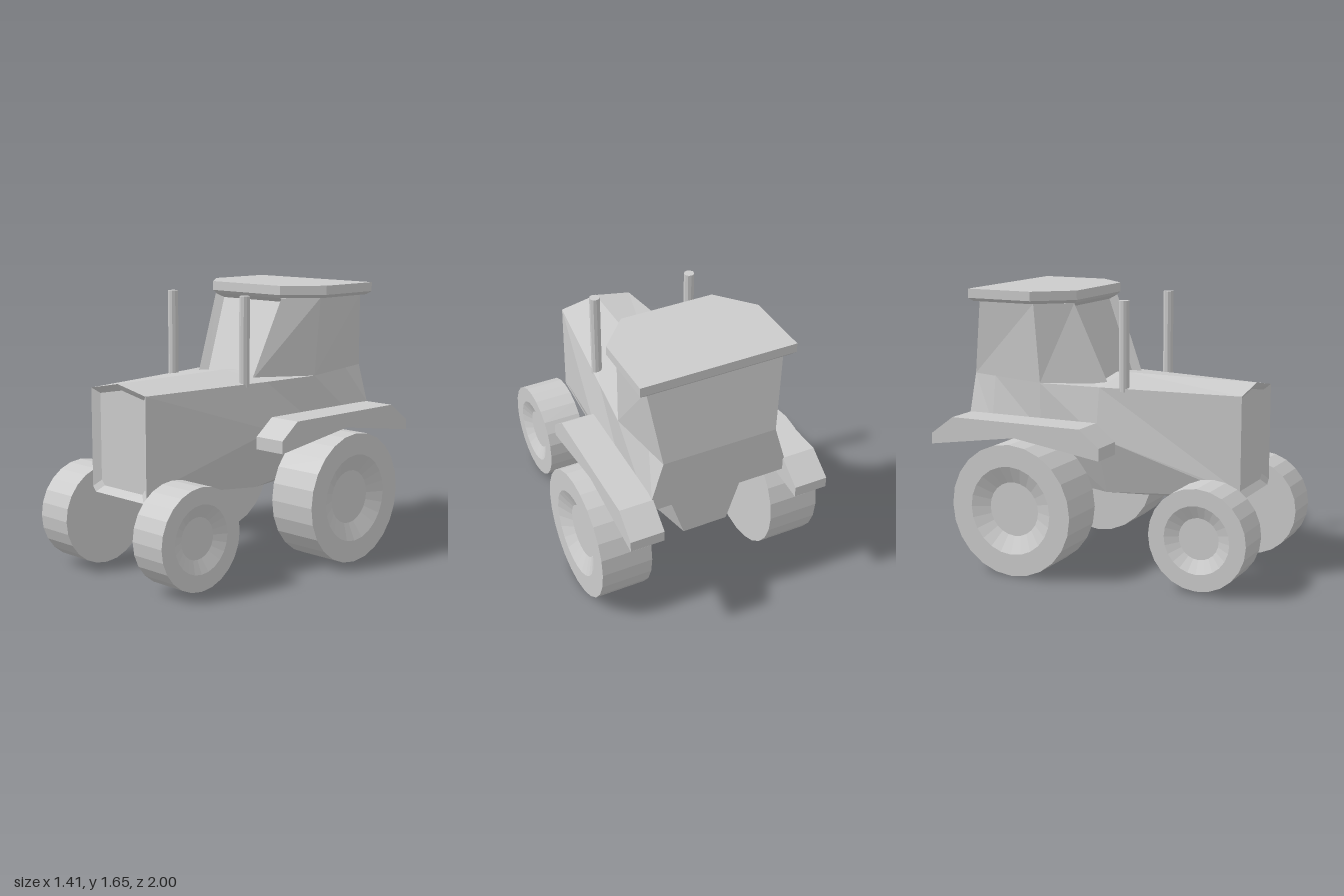
import * as THREE from 'three';

const material = new THREE.MeshStandardMaterial({ color: 0xcccccc, flatShading: true });

// Joins rings of [x, y, z] points; caps optional, one side may be left open.
function loft(rings, { start = true, end = true, skip = -1 } = {}) {
  const pos = [];
  const tri = (a, b, c) => pos.push(...a, ...b, ...c);
  const n = rings[0].length;
  for (let i = 0; i < rings.length - 1; i++) {
    for (let j = 0; j < n; j++) {
      if (j === skip) continue;
      const k = (j + 1) % n, p = rings[i], q = rings[i + 1];
      tri(p[j], p[k], q[k]);
      tri(p[j], q[k], q[j]);
    }
  }
  const cap = (ring, flip) => {
    const mid = [0, 1, 2].map(a => ring.reduce((s, p) => s + p[a], 0) / n);
    for (let j = 0; j < n; j++) {
      const a = ring[j], b = ring[(j + 1) % n];
      flip ? tri(mid, b, a) : tri(mid, a, b);
    }
  };
  if (start) cap(rings[0], true);
  if (end) cap(rings[rings.length - 1], false);
  const g = new THREE.BufferGeometry();
  g.setAttribute('position', new THREE.Float32BufferAttribute(pos, 3));
  g.computeVertexNormals();
  return g;
}

// Mirrors a geometry across x = 0 and restores the facing of its triangles.
function mirrorX(geometry) {
  const g = geometry.index ? geometry.toNonIndexed() : geometry.clone();
  g.scale(-1, 1, 1);
  const p = g.attributes.position;
  for (let i = 0; i < p.count; i += 3) {
    const b = [p.getX(i + 1), p.getY(i + 1), p.getZ(i + 1)];
    p.setXYZ(i + 1, p.getX(i + 2), p.getY(i + 2), p.getZ(i + 2));
    p.setXYZ(i + 2, ...b);
  }
  g.computeVertexNormals();
  return g;
}

export function createModel() {
  const model = new THREE.Group();
  model.name = 'tractor';
  const add = (name, geometry) => {
    const mesh = new THREE.Mesh(geometry, material);
    mesh.name = name;
    model.add(mesh);
  };
  const addPair = (name, geometry) => {
    add(name + 'Left', geometry);
    add(name + 'Right', mirrorX(geometry));
  };

  // Body: half sections from top centre down to bottom centre, front to back
  const section = (z, half) => [
    ...half.map(([x, y]) => [x, y, z]),
    ...half.slice(1, -1).reverse().map(([x, y]) => [-x, y, z]),
  ];
  add('body', loft([
    // recessed grille panel, then the front rim
    section(0.815, [[0, 1.105], [0.19, 1.07], [0.19, 0.6], [0.19, 0.56], [0.165, 0.53], [0, 0.53]]),
    section(0.845, [[0, 1.145], [0.235, 1.1], [0.235, 0.54], [0.235, 0.52], [0.21, 0.49], [0, 0.49]]),
    section(0, [[0, 1.145], [0.35, 1.105], [0.395, 0.82], [0.26, 0.455], [0.15, 0.45], [0, 0.45]]),
    section(-0.37, [[0, 1.12], [0.4, 1.11], [0.4, 0.82], [0.26, 0.5], [0.15, 0.435], [0, 0.435]]),
    section(-0.7, [[0, 1.12], [0.365, 1.125], [0.41, 0.84], [0.26, 0.785], [0.14, 0.43], [0, 0.43]]),
    // end of the lower chassis, then the rear overhang
    section(-0.7, [[0, 1.12], [0.365, 1.125], [0.41, 0.84], [0.26, 0.785], [0.14, 0.785], [0, 0.785]]),
    section(-0.85, [[0, 1.13], [0.35, 1.13], [0.42, 0.9], [0.41, 0.82], [0.14, 0.82], [0, 0.82]]),
  ]));

  // Six-cornered ring: front, middle and rear corner on each side
  const mirrorRing = half => [...half, ...half.slice().reverse().map(([x, y, z]) => [-x, y, z])];

  // Cab walls, open at the front for the windscreen
  const cabBase = mirrorRing([[0.23, 1.1, 0], [0.4, 1.11, -0.37], [0.35, 1.13, -0.85]]);
  const cabTop = mirrorRing([[0.28, 1.58, -0.2], [0.415, 1.58, -0.4], [0.415, 1.58, -0.77]]);
  add('cab', loft([cabBase, cabTop], { start: false, skip: 5 }));

  // Windscreen set back inside a bevelled frame
  add('windscreen', loft([
    [cabBase[5], cabBase[0], cabTop[0], cabTop[5]],
    [[-0.195, 1.12, -0.055], [0.195, 1.12, -0.055], [0.24, 1.555, -0.235], [-0.24, 1.555, -0.235]],
  ], { start: false }));

  // Roof slab with a narrow chamfer underneath
  const roofRing = (y, s) => mirrorRing(
    [[0.285, -0.18], [0.47, -0.39], [0.47, -0.815]].map(([x, z]) => [x * s, y, -0.5 + (z + 0.5) * s]));
  add('roof', loft([roofRing(1.58, 0.94), roofRing(1.6, 1), roofRing(1.655, 1)]));

  // Fenders: bent strips, drifting slightly outward towards the rear
  const fenderProfile = [
    [-1, 0.79], [-0.85, 0.9], [0, 0.9], [0.125, 0.8],
    [0.125, 0.725], [0, 0.82], [-0.85, 0.82], [-1, 0.725],
  ];
  const fenderRing = x => fenderProfile.map(([z, y]) => [x - 0.02 * z, y, z]);
  // both ends of the strip are fanned from points inside the bent profile
  addPair('fender', loft([fenderRing(0.395), fenderRing(0.6)]));

  // Exhaust pipes
  const pipe = new THREE.CylinderGeometry(0.031, 0.031, 0.53, 10);
  pipe.translate(0.305, 1.35, 0.14);
  addPair('exhaustPipe', pipe);

  // Wheels: flat inside, dished hub outside
  const wheel = (r, x0, x1, y, z) => {
    const profile = [[0, x0], [r, x0], [r, x1], [r * 0.67, x1], [r * 0.41, x1 - r * 0.12], [0, x1 - r * 0.12]];
    const g = new THREE.LatheGeometry(profile.map(p => new THREE.Vector2(...p)), 24);
    g.rotateZ(-Math.PI / 2);
    g.translate(0, y, z);
    return g;
  };
  addPair('frontWheel', wheel(0.298, 0.293, 0.53, 0.318, 0.702));
  addPair('rearWheel', wheel(0.395, 0.393, 0.705, 0.396, -0.405));

  return model;
}
